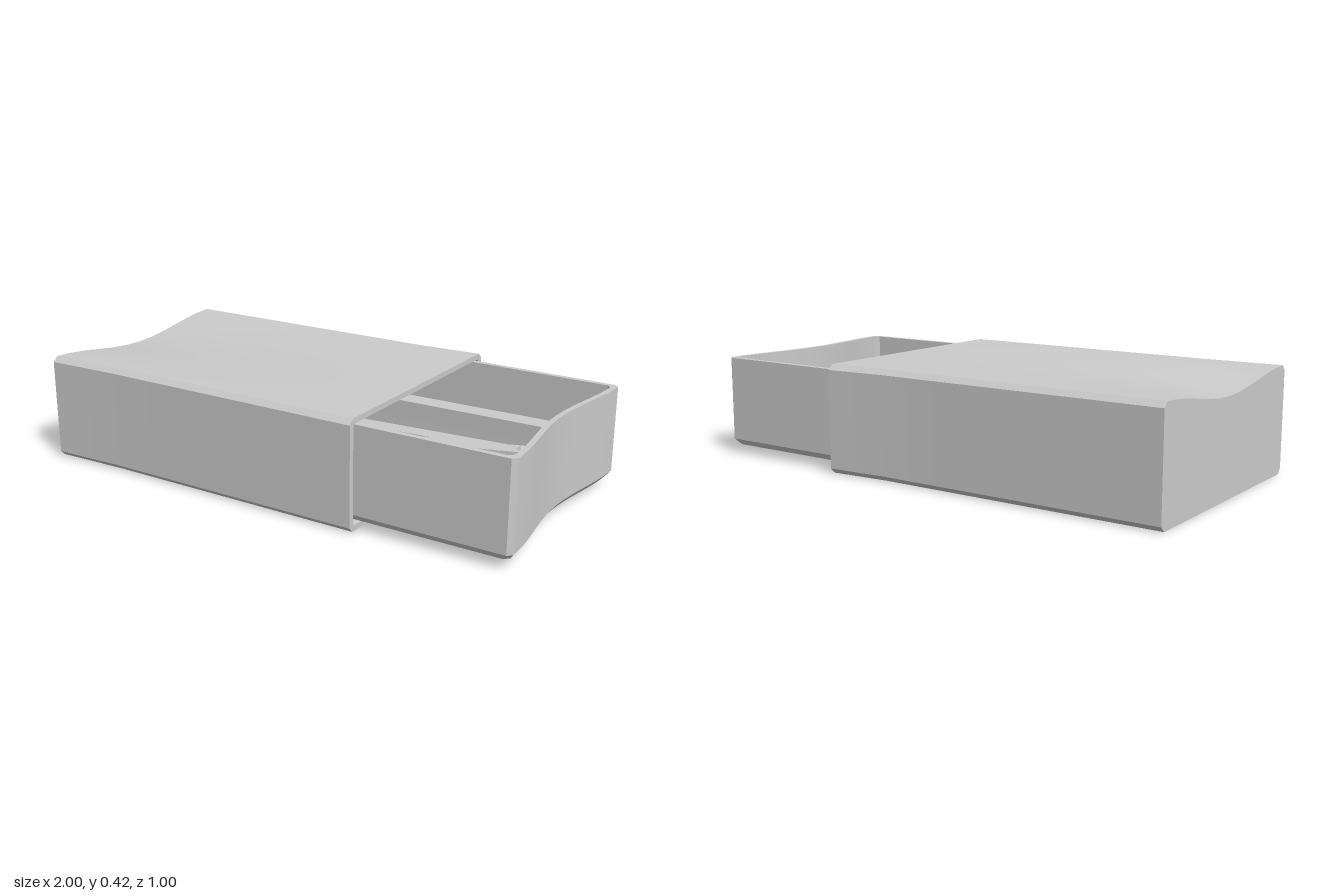
import * as THREE from 'three';
import { toCreasedNormals } from 'three/addons/utils/BufferGeometryUtils.js';

const grey = () => new THREE.MeshStandardMaterial({ color: 0xcccccc });

// Chamfered rectangle, counter-clockwise, with subdivided straight edges
function ring(hu, hv, c, n = 12) {
  const k = [[hu, -hv + c], [hu, hv - c], [hu - c, hv], [-hu + c, hv],
    [-hu, hv - c], [-hu, -hv + c], [-hu + c, -hv], [hu - c, -hv]];
  const pts = [];
  k.forEach((a, i) => {
    const b = k[(i + 1) % 8], steps = i % 2 ? 1 : n;
    for (let s = 0; s < steps; s++) {
      const t = s / steps;
      pts.push([a[0] + (b[0] - a[0]) * t, a[1] + (b[1] - a[1]) * t]);
    }
  });
  return pts;
}

// Joins successive rings of Vector3 into one skin
function loft(rings, crease) {
  const pos = [], idx = [], n = rings[0].length;
  rings.forEach((r) => r.forEach((p) => pos.push(p.x, p.y, p.z)));
  for (let i = 0; i < rings.length - 1; i++) {
    for (let j = 0; j < n; j++) {
      const a = i * n + j, b = i * n + (j + 1) % n;
      if (rings[i][j].distanceTo(rings[i][(j + 1) % n]) > 1e-6) idx.push(a, b, b + n);
      if (rings[i + 1][j].distanceTo(rings[i + 1][(j + 1) % n]) > 1e-6) idx.push(a, b + n, a + n);
    }
  }
  const g = new THREE.BufferGeometry();
  g.setAttribute('position', new THREE.Float32BufferAttribute(pos, 3));
  g.setIndex(idx);
  return toCreasedNormals(g, crease);
}

// Outer sleeve: slightly crumpled, closed at the far end, open towards +x
function makeSleeve() {
  const section = (x, hy, hz, c, scale = 1) => ring(hy, hz, c).map(([u, v]) => {
    let y = 0.214 + u * scale, z = v * scale;
    const sag = 0.05 * ((0.4 - x) / 1.4) ** 2;
    const across = Math.cos(Math.min(1, Math.abs(z) / 0.485) * Math.PI / 2) ** 2;
    y -= sag * across * Math.max(0, u * scale / 0.21);
    if (z > 0) z += 0.012 * (z / 0.485) * Math.max(0, (-0.7 - x) / 0.3);
    else z += 0.018 * (z / 0.485) * Math.max(0, (x - 0.15) / 0.25);
    return new THREE.Vector3(x, y, z);
  });
  const xs = [-1, -0.85, -0.7, -0.5, -0.3, -0.1, 0.15, 0.4];
  const rings = [section(-1, 0.211, 0.487, 0.02, 0)];
  xs.forEach((x) => rings.push(section(x, 0.211, 0.487, 0.02)));
  [...xs].reverse().forEach((x) => rings.push(section(Math.max(x, -0.98), 0.19, 0.465, 0.012)));
  rings.push(section(-0.98, 0.19, 0.465, 0.012, 0));
  const mesh = new THREE.Mesh(loft(rings, 0.5), grey());
  mesh.name = 'sleeve';
  return mesh;
}

// Sliding tray with a dented end wall and chamfered bottom
function makeTray() {
  const section = (y, inset, scale = 1) =>
    ring(0.459 - inset, 0.7 - inset, 0.018).map(([u, v]) => {
      const z = u * scale, along = v * scale;
      const dent = 0.045 * Math.cos(Math.min(1, Math.abs(z) / 0.45) * Math.PI / 2) ** 2;
      return new THREE.Vector3(0.3 + along - dent * Math.max(0, along / 0.7), y, z - 0.004);
    });
  const mesh = new THREE.Mesh(loft([
    section(0.037, 0.02, 0), section(0.037, 0.02), section(0.062, 0), section(0.4, 0),
    section(0.4, 0.022), section(0.06, 0.022), section(0.06, 0.022, 0),
  ], 0.5), grey());
  mesh.name = 'tray';
  return mesh;
}

// Square stick running from tail to head, with a faceted head
function makeMatch(tail, head, width) {
  const match = new THREE.Group();
  match.name = 'match';
  const length = tail.distanceTo(head);
  const stick = new THREE.Mesh(new THREE.BoxGeometry(length, width, width), grey());
  stick.name = 'stick';
  const tipGeometry = new THREE.SphereGeometry(1, 7, 5).rotateZ(-Math.PI / 2);
  const tipMaterial = grey();
  tipMaterial.flatShading = true;
  const tip = new THREE.Mesh(tipGeometry, tipMaterial);
  tip.name = 'matchHead';
  tip.scale.set(0.065, 0.05, 0.05);
  tip.position.x = length / 2;
  match.add(stick, tip);
  match.position.copy(tail).add(head).multiplyScalar(0.5);
  match.quaternion.setFromUnitVectors(new THREE.Vector3(1, 0, 0), head.clone().sub(tail).normalize());
  return match;
}

export function createModel() {
  const model = new THREE.Group();
  model.name = 'matchbox';
  model.add(makeSleeve(), makeTray());

  // Loose matches: tail z, tail y, head x, head y, head z
  const matches = new THREE.Group();
  matches.name = 'matches';
  [
    [-0.36, 0.12, 0.89, 0.13, -0.39],
    [-0.33, 0.2, 0.87, 0.21, -0.33],
    [-0.21, 0.24, 0.87, 0.25, -0.21],
    [-0.15, 0.12, 0.86, 0.16, -0.14],
    [-0.07, 0.14, 0.87, 0.12, -0.07],
    [0.01, 0.11, 0.87, 0.13, 0.0],
    [0.37, 0.22, 0.87, 0.25, 0.07],
    [0.07, 0.12, 0.88, 0.14, 0.13],
    [0.24, 0.13, 0.87, 0.18, 0.24],
    [0.3, 0.11, 0.87, 0.13, 0.39],
  ].forEach(([tz, ty, hx, hy, hz]) => {
    matches.add(makeMatch(new THREE.Vector3(-0.3, ty, tz), new THREE.Vector3(hx, hy, hz), 0.07));
  });
  model.add(matches);
  return model;
}
